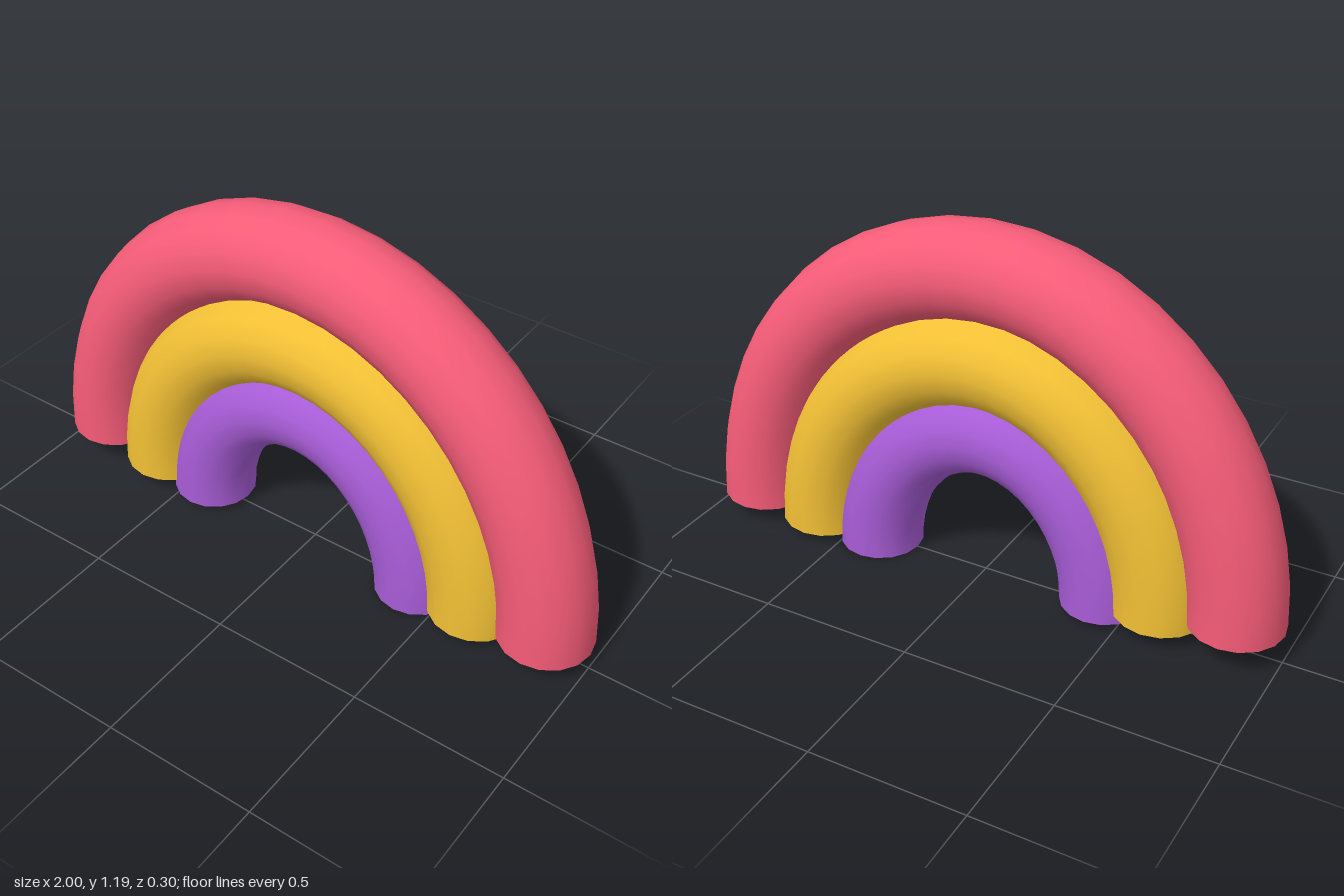
import * as THREE from 'three';

const SIDES = 16;
const SEGMENTS = 24;

// Half-ellipse path whose two feet may stand at different heights
class ArchCurve extends THREE.Curve {
  constructor({ x, halfWidth, leftY, rightY, topY }) {
    super();
    Object.assign(this, { x, halfWidth });
    this.baseY = (leftY + rightY) / 2;
    this.tilt = (leftY - rightY) / 2;
    this.rise = topY - this.baseY;
  }
  getPoint(t, target = new THREE.Vector3()) {
    const a = Math.PI * t;
    return target.set(
      this.x - this.halfWidth * Math.cos(a),
      this.baseY + this.tilt * Math.cos(a) + this.rise * Math.sin(a),
      0
    );
  }
}

// One coloured band: a bent tube closed by a flat disc at each foot
function makeBand({ name, color, radius, ...path }) {
  const band = new THREE.Group();
  band.name = name;
  const material = new THREE.MeshStandardMaterial({ color });
  const curve = new ArchCurve(path);

  const arch = new THREE.Mesh(
    new THREE.TubeGeometry(curve, SEGMENTS, radius, SIDES, false), material);
  arch.name = name + 'Arch';
  band.add(arch);

  const disc = new THREE.CircleGeometry(radius, SIDES).rotateX(Math.PI / 2);
  for (const t of [0, 1]) {
    const foot = new THREE.Mesh(disc, material);
    foot.name = name + (t ? 'RightFoot' : 'LeftFoot');
    foot.position.copy(curve.getPoint(t));
    band.add(foot);
  }
  return band;
}

export function createModel() {
  const model = new THREE.Group();
  model.name = 'rainbow';
  // Heights and widths are those of each tube's centre line
  const bands = [
    { name: 'outerBand', color: 0xf65c78, radius: 0.152, x: 0, halfWidth: 0.848, leftY: 0.095, rightY: 0.055, topY: 1.043 },
    { name: 'middleBand', color: 0xf2c035, radius: 0.152, x: 0, halfWidth: 0.607, leftY: 0.058, rightY: 0.028, topY: 0.755 },
    { name: 'innerBand', color: 0xa75cd6, radius: 0.137, x: -0.01, halfWidth: 0.405, leftY: 0.025, rightY: 0, topY: 0.512 },
  ];
  for (const b of bands) model.add(makeBand(b));
  return model;
}
